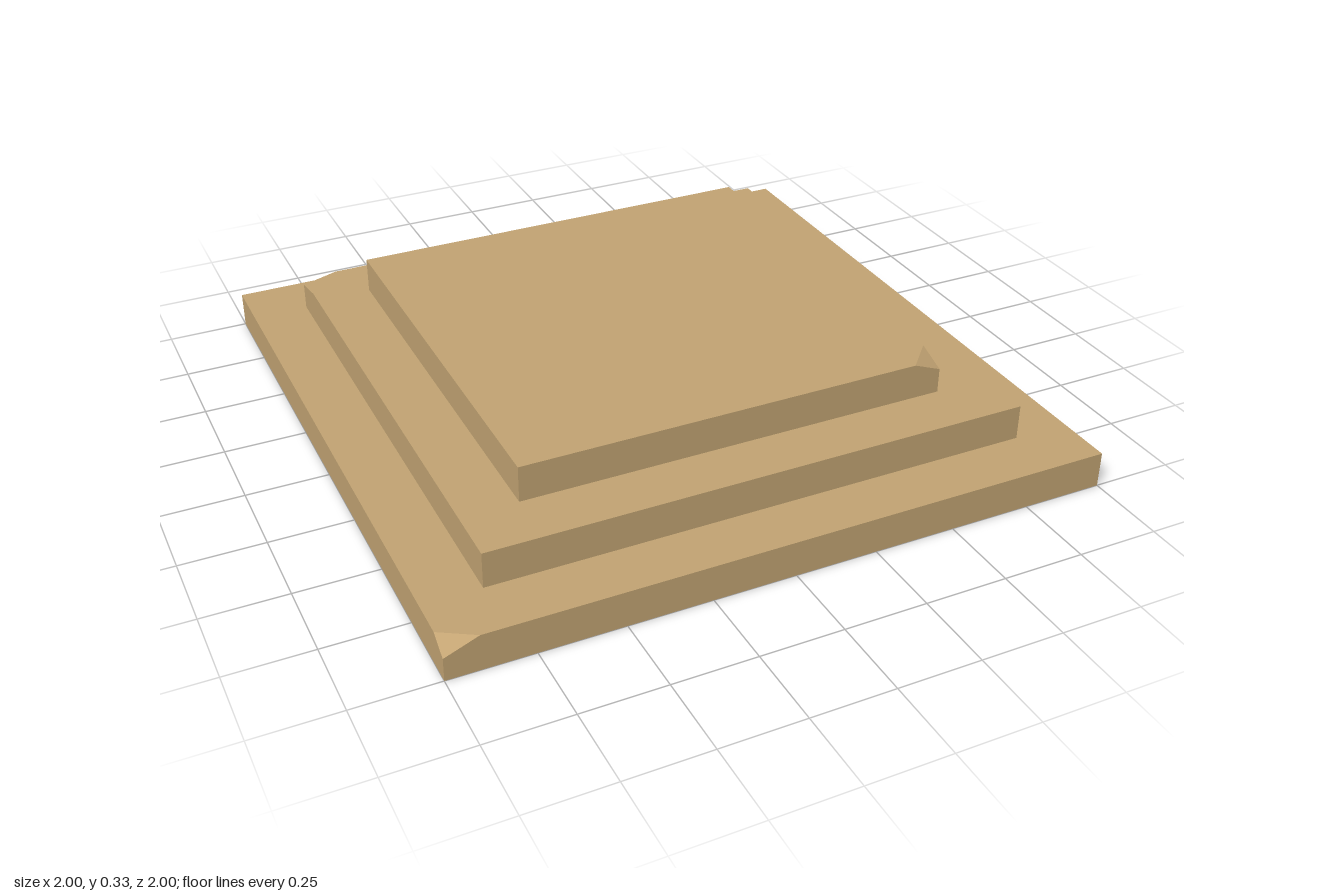
import * as THREE from 'three';

// Square corners in order around the tier: front-left, front-right, back-right, back-left on screen
const SIGNS = [[-1, 1], [1, 1], [1, -1], [-1, -1]];

// Each tier: half width, floor, top, half width of the opening under the next tier,
// and one chipped corner (cut toward next corner, toward previous corner, and downward)
const TIERS = [
  { name: 'lowerStep', half: 1, y0: 0, y1: 0.11, inner: 0.827, chip: { corner: 0, next: 0.1, prev: 0.06, drop: 0.04 } },
  { name: 'middleStep', half: 0.827, y0: 0.11, y1: 0.218, inner: 0.656, chip: { corner: 3, next: 0.12, prev: 0.11, drop: 0.025 } },
  { name: 'topStep', half: 0.656, y0: 0.218, y1: 0.327, inner: 0, chip: { corner: 1, next: 0.09, prev: 0.085, drop: 0.033 } },
];

// Flat-shaded geometry from convex polygons
function polygons(list) {
  const pos = [];
  for (const p of list) {
    for (let i = 1; i < p.length - 1; i++) pos.push(...p[0], ...p[i], ...p[i + 1]);
  }
  const g = new THREE.BufferGeometry();
  g.setAttribute('position', new THREE.Float32BufferAttribute(pos, 3));
  g.computeVertexNormals();
  return g;
}

function makeTier({ name, half, y0, y1, inner, chip }, material) {
  const group = new THREE.Group();
  group.name = name;
  const add = (geometry, part) => {
    const mesh = new THREE.Mesh(geometry, material);
    mesh.name = part;
    group.add(mesh);
  };

  // Corner points: bottom, lowest point of the chip, and the two top cut points
  const corners = SIGNS.map(([sx, sz], i) => {
    const x = sx * half, z = sz * half;
    const c = { bottom: [x, y0, z], chipped: i === chip.corner };
    const toward = (j, d) => {
      const [tx, tz] = SIGNS[(j + 4) % 4];
      return [x + (tx - sx) / 2 * d, y1, z + (tz - sz) / 2 * d];
    };
    c.low = [x, y1 - (c.chipped ? chip.drop : 0), z];
    c.next = toward(i + 1, c.chipped ? chip.next : 0);
    c.prev = toward(i - 1, c.chipped ? chip.prev : 0);
    return c;
  });

  // Four risers
  add(polygons(corners.map((a, i) => {
    const b = corners[(i + 1) % 4];
    return [a.bottom, b.bottom, ...(b.chipped ? [b.low] : []), b.prev, a.next, ...(a.chipped ? [a.low] : [])];
  })), 'risers');

  // Chipped corner facet
  const c = corners[chip.corner];
  add(polygons([[c.low, c.next, c.prev]]), 'chippedCorner');

  // Tread, open beneath the next tier so the underside stays hollow
  const outline = corners.flatMap((k) => (k.chipped ? [k.prev, k.next] : [k.next]));
  const shape = new THREE.Shape(outline.map(([x, , z]) => new THREE.Vector2(x, -z)));
  if (inner) {
    shape.holes.push(new THREE.Path(SIGNS.map(([sx, sz]) => new THREE.Vector2(sx * inner, -sz * inner)).reverse()));
  }
  add(new THREE.ShapeGeometry(shape).rotateX(-Math.PI / 2).translate(0, y1, 0), 'tread');
  return group;
}

export function createModel() {
  const sandstone = new THREE.MeshStandardMaterial({ color: 0xc4a574, side: THREE.DoubleSide });
  sandstone.name = 'sandstone';
  const model = new THREE.Group();
  model.name = 'steppedPlatform';
  for (const tier of TIERS) model.add(makeTier(tier, sandstone));
  return model;
}
